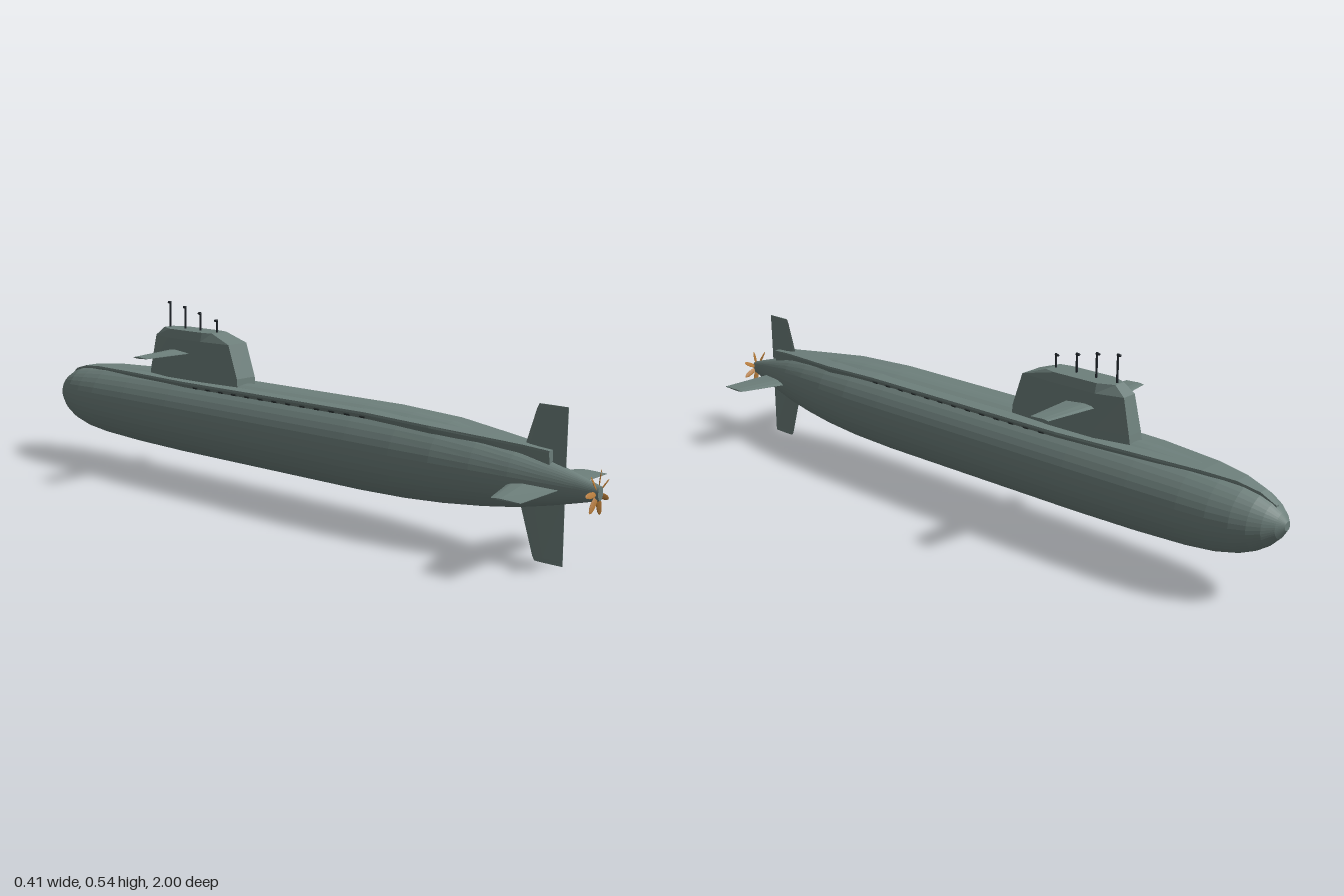
import * as THREE from 'three';

const flat = (name, color) => {
  const m = new THREE.MeshStandardMaterial({ color, flatShading: true });
  m.name = name;
  return m;
};

// Skin a list of sections { z, ring: [[x, y], ...] }, rings counter-clockwise seen from +z
function loft(sections) {
  const n = sections[0].ring.length, pos = [], idx = [];
  for (const s of sections) for (const [x, y] of s.ring) pos.push(x, y, s.z);
  for (let i = 0; i < sections.length - 1; i++) {
    for (let j = 0; j < n; j++) {
      const k = (j + 1) % n, a = i * n + j, b = i * n + k;
      idx.push(a, b, b + n, a, b + n, a + n);
    }
  }
  const e = (sections.length - 1) * n;
  for (let j = 1; j < n - 1; j++) idx.push(0, j + 1, j, e, e + j, e + j + 1);
  const g = new THREE.BufferGeometry();
  g.setAttribute('position', new THREE.Float32BufferAttribute(pos, 3));
  g.setIndex(idx);
  const out = g.toNonIndexed();
  out.computeVertexNormals();
  return out;
}

// Tapered control surface pointing along +x; sections are [span, leadZ, trailZ, halfThickness]
function fin(sections) {
  return loft(sections.map(([span, lead, trail, t]) => {
    const at = f => -(lead + (trail - lead) * f);
    return {
      z: span,
      ring: [[at(0), 0], [at(0.12), t * 0.7], [at(0.35), t], [at(1), 0.0006],
        [at(1), -0.0006], [at(0.35), -t], [at(0.12), -t * 0.7]],
    };
  })).rotateY(Math.PI / 2);
}

export function createModel() {
  const root = new THREE.Group();
  const hullGrey = flat('hull grey green', 0x6d7f7b);
  const dark = flat('dark openings', 0x2b3333);
  const mastBlack = flat('mast black', 0x23292f);
  const bronze = flat('propeller bronze', 0xb57a38);
  const add = (name, geometry, material, parent = root) => {
    const m = new THREE.Mesh(geometry, material);
    m.name = name;
    parent.add(m);
    return m;
  };

  // Pressure hull: [z, radius, centre height, width factor]
  const hull = [
    [-1, 0.012, 0.222, 1], [-0.985, 0.033, 0.219, 1], [-0.96, 0.056, 0.216, 1],
    [-0.93, 0.074, 0.214, 1], [-0.89, 0.089, 0.212, 1], [-0.83, 0.101, 0.21, 1],
    [-0.75, 0.109, 0.21, 1], [-0.6, 0.115, 0.21, 1], [-0.4, 0.118, 0.21, 1],
    [0.3, 0.118, 0.21, 1], [0.45, 0.114, 0.21, 1], [0.57, 0.106, 0.21, 0.98],
    [0.68, 0.093, 0.209, 0.93], [0.78, 0.076, 0.207, 0.86], [0.87, 0.054, 0.205, 0.78],
    [0.94, 0.035, 0.204, 0.7], [1, 0.018, 0.203, 0.65],
  ];
  const sides = 40;
  add('hull', loft(hull.map(([z, r, cy, wx]) => ({
    z,
    ring: Array.from({ length: sides }, (_, i) => {
      const a = (i / sides) * Math.PI * 2;
      return [Math.cos(a) * r * wx, cy + Math.sin(a) * r];
    }),
  }))), hullGrey);

  // Flat deck casing: [z, half width, top height, bottom height]
  const deck = [
    [-0.97, 0.006, 0.268, 0.25], [-0.93, 0.015, 0.294, 0.27], [-0.87, 0.026, 0.31, 0.285],
    [-0.78, 0.043, 0.318, 0.295], [-0.6, 0.065, 0.322, 0.298], [-0.35, 0.081, 0.322, 0.3],
    [0.35, 0.081, 0.322, 0.3], [0.55, 0.075, 0.314, 0.285], [0.7, 0.047, 0.303, 0.272],
    [0.8, 0.028, 0.295, 0.26], [0.87, 0.021, 0.289, 0.25],
  ];
  add('deck casing', loft(deck.map(([z, w, t, b]) => ({
    z, ring: [[w * 0.83, b], [w, t - 0.006], [w * 0.98, t], [-w * 0.98, t], [-w, t - 0.006], [-w * 0.83, b]],
  }))), hullGrey);

  // Drain slots along both deck edges
  for (const side of [-1, 1]) {
    for (let i = 0; i < 13; i++) {
      const slot = add('drain slot', new THREE.BoxGeometry(0.005, 0.006, 0.018), dark);
      slot.position.set(side * 0.0755, 0.309, -0.3 + i * 0.053);
      slot.rotation.z = -side * 0.6;
    }
  }

  // Sail: [height, rear z, front z, rear half width, middle half width, front half width]
  const sail = [
    [0.3, -0.163, -0.557, 0.037, 0.047, 0.026], [0.345, -0.166, -0.549, 0.037, 0.047, 0.026],
    [0.442, -0.2, -0.527, 0.037, 0.045, 0.023], [0.468, -0.275, -0.495, 0.03, 0.038, 0.018],
  ];
  add('sail', loft(sail.map(([y, zr, zf, wr, wm, wf]) => {
    const half = [[wr, -zr], [wm, 0.31], [wm, 0.45], [wf, -zf]];
    return { z: y, ring: [...half, ...half.map(([x, v]) => [-x, v]).reverse()] };
  })).rotateX(-Math.PI / 2), hullGrey);

  // Sail planes
  for (const side of [-1, 1]) {
    const plane = fin([[0.02, -0.455, -0.357, 0.007], [0.203, -0.428, -0.37, 0.0025]]);
    if (side < 0) plane.rotateZ(Math.PI);
    add(side > 0 ? 'left sail plane' : 'right sail plane', plane, hullGrey).position.y = 0.402;
  }

  // Cross-shaped stern planes and rudders
  ['left stern plane', 'upper rudder', 'right stern plane', 'lower rudder'].forEach((name, i) => {
    const tail = fin([[0.01, 0.765, 0.905, 0.008], [0.186, 0.82, 0.906, 0.003], [0.197, 0.826, 0.906, 0.002]]);
    add(name, tail.rotateZ(i * Math.PI / 2), hullGrey).position.y = 0.2;
  });

  // Masts with small forward-facing heads: [z, top height]
  for (const [z, top] of [[-0.285, 0.506], [-0.355, 0.522], [-0.42, 0.536], [-0.487, 0.546]]) {
    const mast = new THREE.Group();
    mast.name = 'mast';
    mast.position.z = z;
    root.add(mast);
    const h = top - 0.45;
    add('mast pole', new THREE.CylinderGeometry(0.003, 0.003, h, 8), mastBlack, mast).position.y = 0.45 + h / 2;
    const head = add('mast head', new THREE.CapsuleGeometry(0.004, 0.006, 3, 8), mastBlack, mast);
    head.rotation.x = Math.PI / 2;
    head.position.set(0, top - 0.004, -0.003);
  }

  // Seven-bladed propeller
  const propeller = new THREE.Group();
  propeller.name = 'propeller';
  propeller.position.set(0, 0.203, 0.993);
  root.add(propeller);
  for (let i = 0; i < 7; i++) {
    const blade = new THREE.SphereGeometry(1, 10, 6).scale(0.025, 0.0075, 0.0015);
    blade.rotateX(0.5).translate(0.032, 0, 0).rotateZ(Math.PI + (i / 7) * Math.PI * 2);
    add('propeller blade', blade, bronze, propeller);
  }
  return root;
}
